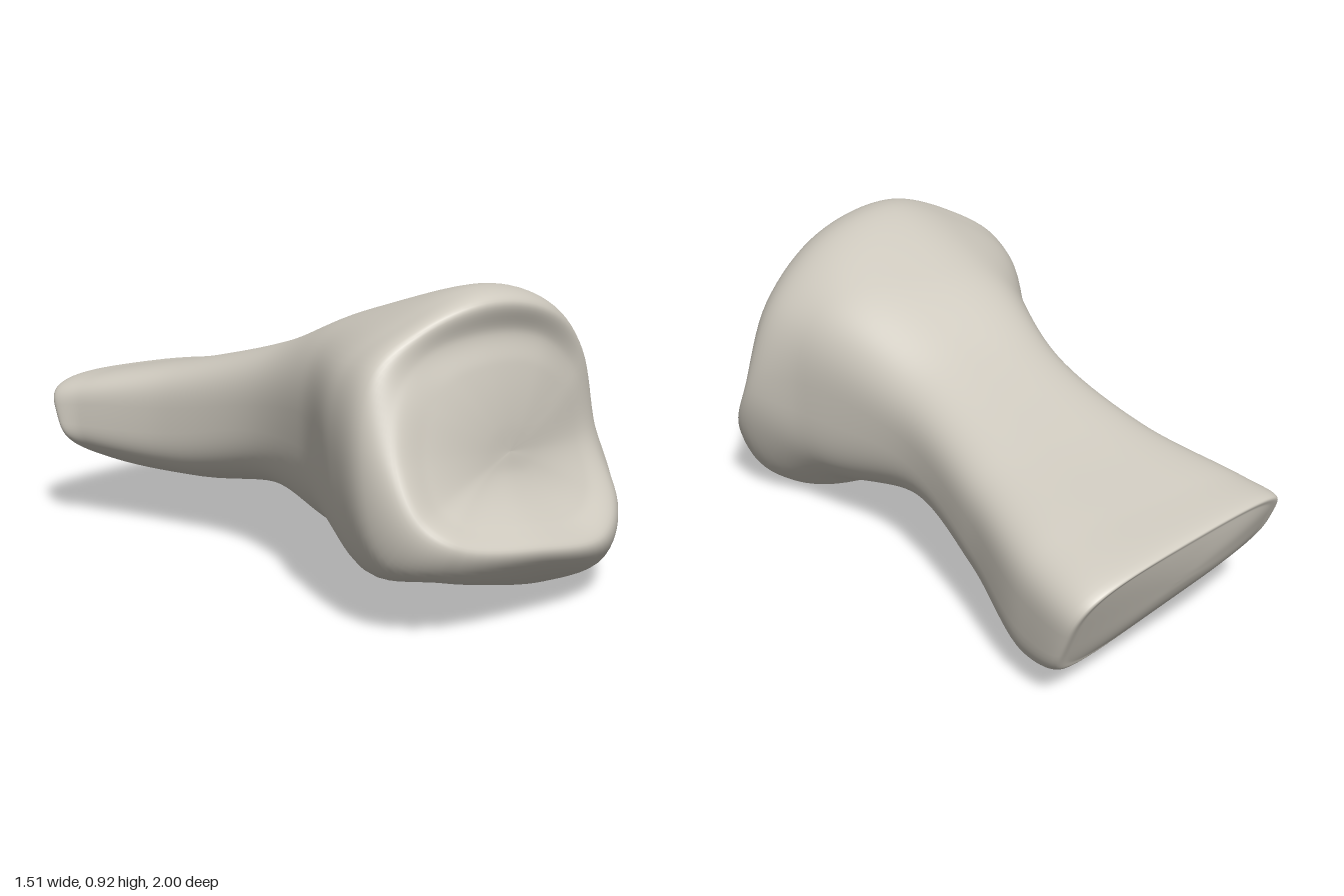
import * as THREE from 'three';

const AROUND = 96, ALONG = 150;
const V = (p) => new THREE.Vector3(...p);

// Closed smooth ring through control points, starting at the top and going towards +x
function ringFromPoints(points) {
  const curve = new THREE.CatmullRomCurve3(points.map(V), true, 'centripetal');
  return Array.from({ length: AROUND }, (_, j) => curve.getPoint(j / AROUND));
}

// Rounded section between two side points, with its own half height at each side
function section(left, right, hLeft, hRight, power, lean = 0) {
  const a = V(left), b = V(right);
  const soft = (n) => Math.sign(n) * Math.abs(n) ** power;
  return Array.from({ length: AROUND }, (_, j) => {
    const t = (j / AROUND) * Math.PI * 2;
    const u = 0.5 + 0.5 * soft(Math.sin(t)), v = soft(Math.cos(t));
    const h = v * (hLeft + (hRight - hLeft) * u);
    return a.clone().lerp(b, u).add(new THREE.Vector3(-lean * h * 0.4, h, -lean * h));
  });
}

// Shrinks a rim towards a centre; depth along the normal eases out so the middle is smooth
function inset(rim, centre, normal, k) {
  const c = V(centre), n = V(normal).normalize();
  return rim.map((p) => {
    const q = p.clone().sub(c);
    const depth = q.dot(n);
    return c.clone().addScaledVector(q, k).addScaledVector(n, depth * (k * k - k));
  });
}

function loft(rings) {
  const pos = [], idx = [];
  const columns = Array.from({ length: AROUND }, (_, j) =>
    new THREE.CatmullRomCurve3(rings.map((r) => r[j]), false, 'centripetal'));
  for (let i = 0; i <= ALONG; i++)
    for (let j = 0; j < AROUND; j++) pos.push(...columns[j].getPoint(i / ALONG).toArray());
  for (let i = 0; i < ALONG; i++)
    for (let j = 0; j < AROUND; j++) {
      const k = (j + 1) % AROUND;
      const a = i * AROUND + j, b = i * AROUND + k;
      idx.push(a, b, a + AROUND, b, b + AROUND, a + AROUND);
    }
  const g = new THREE.BufferGeometry();
  g.setAttribute('position', new THREE.Float32BufferAttribute(pos, 3));
  g.setIndex(idx);
  g.computeVertexNormals();
  return g;
}

export function createModel() {
  const group = new THREE.Group();
  const bone = new THREE.MeshStandardMaterial({ color: 0xcfcabf });
  bone.name = 'bone';

  // Front face just inside its rounded edge, swelling forward at the bottom
  const crown = ringFromPoints([
    [0.2, 0.8, 0.735], [0.43, 0.76, 0.62], [0.59, 0.63, 0.52], [0.66, 0.43, 0.5],
    [0.67, 0.27, 0.64], [0.57, 0.2, 0.78], [0.3, 0.23, 0.93], [0.02, 0.28, 1.0],
    [-0.08, 0.35, 0.965], [-0.12, 0.5, 0.895], [-0.08, 0.67, 0.83], [0.02, 0.76, 0.785],
  ]);
  // Outer edge of the front face
  const rim = ringFromPoints([
    [0.2, 0.89, 0.755], [0.45, 0.84, 0.63], [0.64, 0.68, 0.47], [0.72, 0.43, 0.41],
    [0.74, 0.22, 0.52], [0.64, 0.09, 0.64], [0.31, 0.13, 0.84], [0.0, 0.18, 0.94],
    [-0.14, 0.22, 0.89], [-0.195, 0.5, 0.83], [-0.15, 0.72, 0.8], [0.0, 0.83, 0.785],
  ]);
  // Widest part of the head, with a knob below on the +x side
  const head = ringFromPoints([
    [0.2, 0.92, 0.64], [0.45, 0.87, 0.51], [0.63, 0.71, 0.38], [0.725, 0.45, 0.36],
    [0.753, 0.25, 0.43], [0.67, 0.06, 0.48], [0.47, 0.0, 0.48], [0.14, 0.12, 0.64],
    [-0.14, 0.16, 0.72], [-0.22, 0.46, 0.66], [-0.19, 0.71, 0.66], [0.0, 0.85, 0.68],
  ]);
  // Rim of the slanted, wedge-shaped back face
  const back = section([-0.745, 0.365, -0.57], [-0.03, 0.245, -0.965], 0.12, 0.19, 0.55, 0.42);

  const frontCap = (k) => inset(crown, [0.28, 0.47, 0.755], [0.42, 0, 0.9], k);
  const backCap = (k) => inset(back, [-0.4, 0.3, -0.79], [-0.45, -0.35, -0.85], k);
  const geometry = loft([
    ...[0, 0.25, 0.5, 0.75].map(frontCap),
    crown,
    rim,
    head,
    section([-0.21, 0.48, 0.36], [0.56, 0.46, 0.2], 0.34, 0.365, 0.7),
    section([-0.27, 0.45, 0.05], [0.29, 0.43, -0.12], 0.24, 0.235, 0.67),
    section([-0.46, 0.385, -0.27], [0.15, 0.34, -0.48], 0.2, 0.215, 0.58),
    section([-0.68, 0.37, -0.5], [0.06, 0.255, -0.8], 0.145, 0.23, 0.53, 0.1),
    back,
    ...[0.9, 0.7, 0.45, 0.2, 0].map(backCap),
  ]);

  const mesh = new THREE.Mesh(geometry, bone);
  mesh.name = 'boneBody';
  group.add(mesh);
  group.name = 'bone';
  return group;
}
